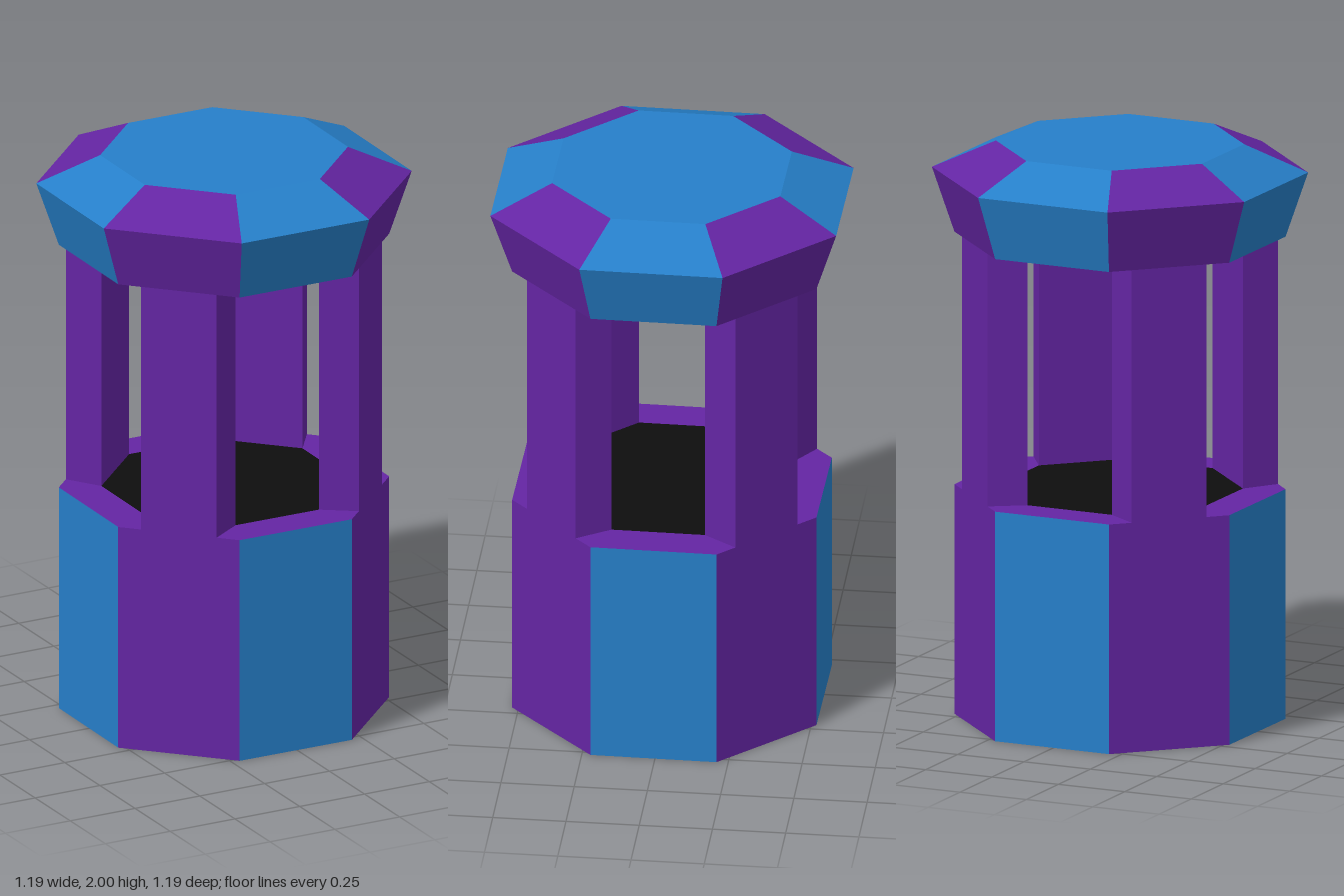
import * as THREE from 'three';

const blue = new THREE.MeshStandardMaterial({ color: 0x267fc9 });
blue.name = 'blue';
const purple = new THREE.MeshStandardMaterial({ color: 0x6425a3 });
purple.name = 'purple';
const black = new THREE.MeshStandardMaterial({ color: 0x0e0e0e });
black.name = 'black';

const CORNER = 1 / Math.cos(Math.PI / 8); // apothem to corner radius

function mesh(name, geometry, material) {
  const m = new THREE.Mesh(geometry, material);
  m.name = name;
  return m;
}

// Eight-sided band with a flat side facing +z; sides alternate blue and purple
function band(name, bottom, y0, top, y1) {
  const g = new THREE.CylinderGeometry(top * CORNER, bottom * CORNER, y1 - y0, 8, 1, true, -Math.PI / 8)
    .toNonIndexed();
  g.computeVertexNormals();
  g.translate(0, (y0 + y1) / 2, 0);
  g.clearGroups();
  for (let i = 0; i < 8; i++) g.addGroup(i * 6, 6, i % 2);
  return mesh(name, g, [blue, purple]);
}

// Flat octagon facing up or down, with an optional hole (inner apothem)
function octagon(name, apothem, y, material, up = true, inner = 0) {
  const g = inner
    ? new THREE.RingGeometry(inner * CORNER, apothem * CORNER, 8, 1, Math.PI / 8)
    : new THREE.CircleGeometry(apothem * CORNER, 8, Math.PI / 8);
  g.rotateX(up ? -Math.PI / 2 : Math.PI / 2);
  g.translate(0, y, 0);
  return mesh(name, g, material);
}

export function createModel() {
  const model = new THREE.Group();
  model.name = 'well';

  // Base with purple rim and dark opening
  const base = new THREE.Group();
  base.name = 'base';
  base.add(
    band('baseWall', 0.52, 0, 0.52, 0.8),
    octagon('baseBottom', 0.52, 0, purple, false),
    octagon('rim', 0.52, 0.8, purple, true, 0.386),
    octagon('opening', 0.386, 0.8, black)
  );

  // Wedge-shaped posts on the diagonal sides
  const section = new THREE.Shape([
    new THREE.Vector2(-0.134, -0.52),
    new THREE.Vector2(0.134, -0.52),
    new THREE.Vector2(0.16, -0.386),
    new THREE.Vector2(-0.16, -0.386)
  ]);
  const postGeometry = new THREE.ExtrudeGeometry(section, { depth: 0.88, bevelEnabled: false });
  postGeometry.rotateX(-Math.PI / 2);
  postGeometry.translate(0, 0.8, 0);
  const posts = new THREE.Group();
  posts.name = 'posts';
  for (let i = 0; i < 4; i++) {
    const post = mesh('post', postGeometry, purple);
    post.rotation.y = Math.PI / 4 + i * Math.PI / 2;
    posts.add(post);
  }

  // Roof: flared edge, sloped bevel and flat top
  const roof = new THREE.Group();
  roof.name = 'roof';
  roof.add(
    octagon('roofUnderside', 0.52, 1.68, purple, false),
    band('roofEdge', 0.52, 1.68, 0.591, 1.905),
    band('roofBevel', 0.591, 1.905, 0.39, 2),
    octagon('roofTop', 0.39, 2, blue)
  );

  model.add(base, posts, roof);
  model.rotation.y = -0.01;
  return model;
}
